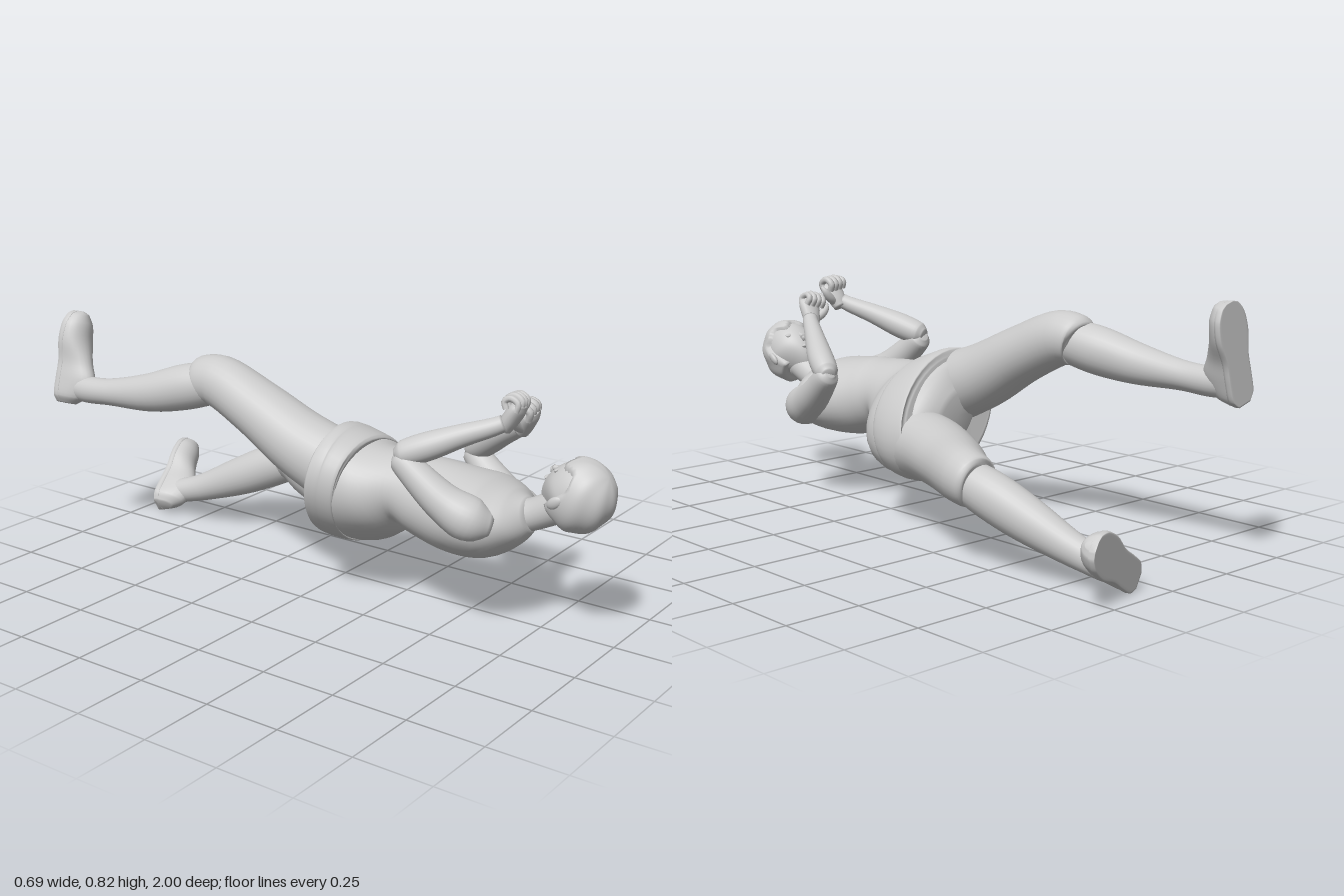
import * as THREE from 'three';

const V = (a) => new THREE.Vector3(...a);
const material = new THREE.MeshStandardMaterial({ color: 0xcccccc, roughness: 0.8 });

function addMesh(parent, name, geometry) {
  const mesh = new THREE.Mesh(geometry, material);
  mesh.name = name;
  parent.add(mesh);
  return mesh;
}

// Smooth closed skin through rings [x, y, z, halfWidth, halfHeight, roll];
// an optional rule moves each vertex.
function loft(rings, { sides = 28, steps = 5, rule } = {}) {
  const path = new THREE.CatmullRomCurve3(rings.map((r) => V(r.slice(0, 3))));
  const sizes = new THREE.CatmullRomCurve3(
    rings.map((r) => V([r[3], r[4] ?? r[3], r[5] ?? 0])), false, 'catmullrom', 0.5);
  const n = (rings.length - 1) * steps;
  const pos = [], index = [];
  const push = (p) => { if (rule) rule(p); pos.push(p.x, p.y, p.z); };
  for (let i = 0; i <= n; i++) {
    const c = path.getPoint(i / n), t = path.getTangent(i / n), s = sizes.getPoint(i / n);
    const side = new THREE.Vector3(0, 1, 0).cross(t).normalize().applyAxisAngle(t, s.z);
    const up = t.clone().cross(side);
    for (let j = 0; j < sides; j++) {
      const a = (j / sides) * Math.PI * 2;
      push(c.clone().addScaledVector(side, Math.cos(a) * s.x).addScaledVector(up, Math.sin(a) * s.y));
      if (i < n) {
        const p = i * sides + j, q = i * sides + (j + 1) % sides;
        index.push(p, q, p + sides, q, q + sides, p + sides);
      }
    }
  }
  const first = (n + 1) * sides, end = n * sides;
  push(path.getPoint(0));
  push(path.getPoint(1));
  for (let j = 0; j < sides; j++) {
    const k = (j + 1) % sides;
    index.push(first, k, j, first + 1, end + j, end + k);
  }
  const g = new THREE.BufferGeometry();
  g.setAttribute('position', new THREE.Float32BufferAttribute(pos, 3));
  g.setIndex(index);
  g.computeVertexNormals();
  return g;
}

// Group whose local z is forward and local y is close to up
function frame(name, origin, forward, up) {
  const z = V(forward).normalize();
  const x = V(up).cross(z).normalize();
  const g = new THREE.Group();
  g.name = name;
  g.quaternion.setFromRotationMatrix(new THREE.Matrix4().makeBasis(x, z.clone().cross(x), z));
  g.position.set(...origin);
  return g;
}

// Shoe: rounded upper over a flat sole, heel at the origin, toe along z
function makeFoot(name, origin, forward, up) {
  const foot = frame(name, origin, forward, up);
  const outline = [[0.004, 0.025, 0.05], [0.03, 0.047, 0.09], [0.09, 0.05, 0.12], [0.15, 0.05, 0.095],
    [0.22, 0.064, 0.066], [0.28, 0.058, 0.055], [0.315, 0.035, 0.04], [0.325, 0.012, 0.025]];
  addMesh(foot, 'shoeUpper', loft(outline.map(([z, w, h]) => [0, 0.012, z, w, h]),
    { rule: (p) => { p.y = Math.max(p.y, 0.005); } }));
  addMesh(foot, 'sole', loft(outline.map(([z, w]) => [0, 0.012, z, w + 0.003, 0.05]),
    { rule: (p) => { p.y = THREE.MathUtils.clamp(p.y, 0, 0.02); } }));
  return foot;
}

// Fist: palm along z, four fingers curled to the x side (given by curlSide), thumb at +y
function makeHand(name, origin, forward, up, curlSide) {
  const hand = frame(name, origin, forward, up);
  addMesh(hand, 'palm', loft([[0, 0, -0.06, 0.023, 0.027], [0, 0, -0.025, 0.027, 0.036],
    [0, 0, 0.015, 0.025, 0.042], [0, 0, 0.036, 0.015, 0.036]], { sides: 18 }));
  for (let i = 0; i < 4; i++) {
    const y = 0.031 - i * 0.0205, k = i === 3 ? 0.85 : 1;
    const curl = new THREE.CatmullRomCurve3([[curlSide * -0.006, y, 0.015], [curlSide * 0.002, y, 0.045 * k],
      [curlSide * 0.03, y, 0.044 * k], [curlSide * 0.04, y, 0.018], [curlSide * 0.022, y, 0.003]].map(V));
    addMesh(hand, 'finger', new THREE.TubeGeometry(curl, 14, 0.0122 * k, 8));
  }
  addMesh(hand, 'thumb', loft([[0, 0.02, -0.035, 0.014], [curlSide * 0.012, 0.042, -0.018, 0.015],
    [curlSide * 0.022, 0.058, 0.004, 0.012], [curlSide * 0.024, 0.065, 0.024, 0.005]], { sides: 12 }));
  return hand;
}

// Head in its own frame: y to the crown, z to the face
function makeHead() {
  const head = frame('head', [-0.05, 0.47, 0.877], [0.1, 0.8, -0.6], [0, 0.6, 0.8]);
  const smooth = (x, a, b) => THREE.MathUtils.smoothstep(x, a, b);
  const shaped = (rule) => {
    const g = new THREE.SphereGeometry(1, 56, 40), p = g.attributes.position, v = new THREE.Vector3();
    for (let i = 0; i < p.count; i++) {
      rule(v.fromBufferAttribute(p, i));
      p.setXYZ(i, v.x, v.y, v.z);
    }
    g.computeVertexNormals();
    return g;
  };
  addMesh(head, 'face', shaped((v) => {
    const jaw = smooth(-v.y, 0.1, 1);
    v.set(v.x * 0.089 * (1 - 0.42 * jaw), v.y * 0.118, v.z * 0.1 * (1 - (v.z < 0 ? 0.45 : 0.1) * jaw) + 0.014 * jaw);
  }));
  // Hair shell sinks below the skin around the face and the nape
  addMesh(head, 'hair', shaped((v) => {
    const a = Math.atan2(v.x, v.z);
    const fringe = 0.34 + 0.12 * Math.sin(a * 7 + 1);
    const open = smooth(v.z, 0.14, 0.3) * smooth(-v.y, -fringe - 0.05, -fringe + 0.05);
    const nape = smooth(-v.y, 0.62, 0.8);
    const lock = 1 + 0.02 * Math.sin(a * 7 + v.y * 5) * (1 - v.y * v.y);
    const r = lock * (1 - 0.26 * Math.max(open, nape));
    v.set(v.x * 0.1 * r, v.y * 0.12 * r + 0.004, v.z * 0.113 * r - 0.003);
  }));
  addMesh(head, 'nose', loft([[0, 0.012, 0.088, 0.006], [0, -0.015, 0.096, 0.008],
    [0, -0.032, 0.103, 0.01, 0.009], [0, -0.04, 0.092, 0.007]], { sides: 10 }));
  const lips = addMesh(head, 'lips', new THREE.SphereGeometry(1, 14, 10));
  lips.scale.set(0.02, 0.007, 0.008);
  lips.position.set(0, -0.062, 0.088);
  for (const s of [1, -1]) {
    const ear = addMesh(head, 'ear', new THREE.SphereGeometry(1, 14, 12));
    ear.scale.set(0.011, 0.028, 0.018);
    ear.position.set(s * 0.094, -0.022, 0.002);
    ear.rotation.y = s * 0.3;
    const eye = addMesh(head, 'eye', new THREE.SphereGeometry(1, 12, 10));
    eye.scale.set(0.018, 0.009, 0.006);
    eye.position.set(s * 0.036, 0.002, 0.087);
  }
  return head;
}

export function createModel() {
  const model = new THREE.Group();
  model.name = 'recliningFigure';

  // Body, twisting from level shoulders to rolled hips
  addMesh(model, 'torso', loft([
    [-0.06, 0.382, 0.735, 0.055, 0.048, 0], [-0.065, 0.368, 0.69, 0.135, 0.085, 0.05],
    [-0.068, 0.352, 0.61, 0.203, 0.124, 0.08], [-0.073, 0.352, 0.5, 0.175, 0.136, 0.1],
    [-0.08, 0.37, 0.39, 0.145, 0.13, 0.14], [-0.08, 0.385, 0.3, 0.14, 0.116, 0.25],
    [-0.075, 0.36, 0.2, 0.195, 0.155, 0.42], [-0.055, 0.345, 0.1, 0.25, 0.175, 0.55],
    [-0.05, 0.35, 0.03, 0.22, 0.15, 0.56], [-0.06, 0.35, -0.025, 0.1, 0.07, 0.56]], { sides: 40 }));
  // Waistband: flush with the belly above, standing clear of the thighs below
  addMesh(model, 'waistband', loft([
    [-0.049, 0.338, 0.14, 0.228, 0.166, 0.52], [-0.049, 0.339, 0.135, 0.244, 0.178, 0.53],
    [-0.053, 0.348, 0.07, 0.265, 0.187, 0.56], [-0.06, 0.357, 0.022, 0.262, 0.184, 0.56],
    [-0.0605, 0.358, 0.017, 0.235, 0.16, 0.56]], { sides: 40 }));
  addMesh(model, 'neck', loft([[-0.065, 0.362, 0.68, 0.055], [-0.06, 0.388, 0.75, 0.05], [-0.055, 0.43, 0.83, 0.054]]));
  model.add(makeHead());

  // Legs: trouser thigh, bare shin and shoe
  addMesh(model, 'rightThigh', loft([
    [-0.16, 0.43, 0.08, 0.115, 0.12], [-0.17, 0.485, -0.05, 0.112, 0.11], [-0.177, 0.575, -0.22, 0.1, 0.095],
    [-0.182, 0.642, -0.38, 0.086, 0.088], [-0.187, 0.638, -0.445, 0.077, 0.079], [-0.187, 0.636, -0.45, 0.055, 0.055]]));
  addMesh(model, 'rightShin', loft([
    [-0.185, 0.638, -0.39, 0.065, 0.07], [-0.218, 0.612, -0.5, 0.07, 0.077], [-0.256, 0.582, -0.62, 0.06, 0.066],
    [-0.281, 0.562, -0.78, 0.047, 0.047], [-0.288, 0.555, -0.88, 0.044, 0.046], [-0.29, 0.555, -0.94, 0.04, 0.045]]));
  model.add(makeFoot('rightFoot', [-0.31, 0.494, -1], [0.09, 0.31, 0], [0, 0, 1]));
  addMesh(model, 'leftThigh', loft([
    [0.06, 0.27, 0.08, 0.11, 0.12], [0.08, 0.27, -0.05, 0.118, 0.11], [0.15, 0.265, -0.22, 0.108, 0.097],
    [0.24, 0.262, -0.385, 0.086, 0.09], [0.254, 0.253, -0.445, 0.077, 0.08], [0.254, 0.252, -0.45, 0.055, 0.055]]));
  addMesh(model, 'leftShin', loft([
    [0.25, 0.258, -0.39, 0.066, 0.068], [0.23, 0.215, -0.5, 0.07, 0.076], [0.2, 0.16, -0.62, 0.064, 0.07],
    [0.163, 0.093, -0.78, 0.046, 0.05], [0.143, 0.067, -0.87, 0.043, 0.045], [0.13, 0.055, -0.91, 0.04, 0.04]]));
  model.add(makeFoot('leftFoot', [0.058, 0.02, -0.925], [0.25, 0.155, -0.07], [0.22, 0.06, 0.97]));

  // Arms, bent with raised fists
  addMesh(model, 'rightUpperArm', loft([
    [-0.185, 0.365, 0.665, 0.04], [-0.218, 0.385, 0.615, 0.07], [-0.245, 0.43, 0.54, 0.06],
    [-0.262, 0.5, 0.455, 0.049], [-0.268, 0.548, 0.4, 0.04], [-0.268, 0.56, 0.385, 0.02]]));
  addMesh(model, 'rightForearm', loft([
    [-0.275, 0.558, 0.385, 0.022], [-0.267, 0.564, 0.405, 0.04], [-0.235, 0.59, 0.47, 0.044],
    [-0.185, 0.628, 0.56, 0.035], [-0.14, 0.658, 0.64, 0.028], [-0.125, 0.67, 0.665, 0.026]]));
  model.add(makeHand('rightHand', [-0.104, 0.7, 0.69], [0.15, 0.8, 0.5], [0.9, 0.1, 0], -1));
  addMesh(model, 'leftUpperArm', loft([
    [0.055, 0.325, 0.67, 0.04], [0.09, 0.32, 0.615, 0.07], [0.12, 0.352, 0.54, 0.06],
    [0.145, 0.415, 0.45, 0.049], [0.157, 0.462, 0.395, 0.04], [0.157, 0.474, 0.38, 0.02]]));
  addMesh(model, 'leftForearm', loft([
    [0.165, 0.464, 0.378, 0.022], [0.157, 0.472, 0.4, 0.04], [0.135, 0.51, 0.46, 0.044],
    [0.09, 0.565, 0.55, 0.035], [0.05, 0.608, 0.625, 0.028], [0.038, 0.622, 0.645, 0.026]]));
  model.add(makeHand('leftHand', [0.02, 0.652, 0.67], [-0.2, 0.8, 0.5], [-0.9, -0.3, 0], 1));

  return model;
}
